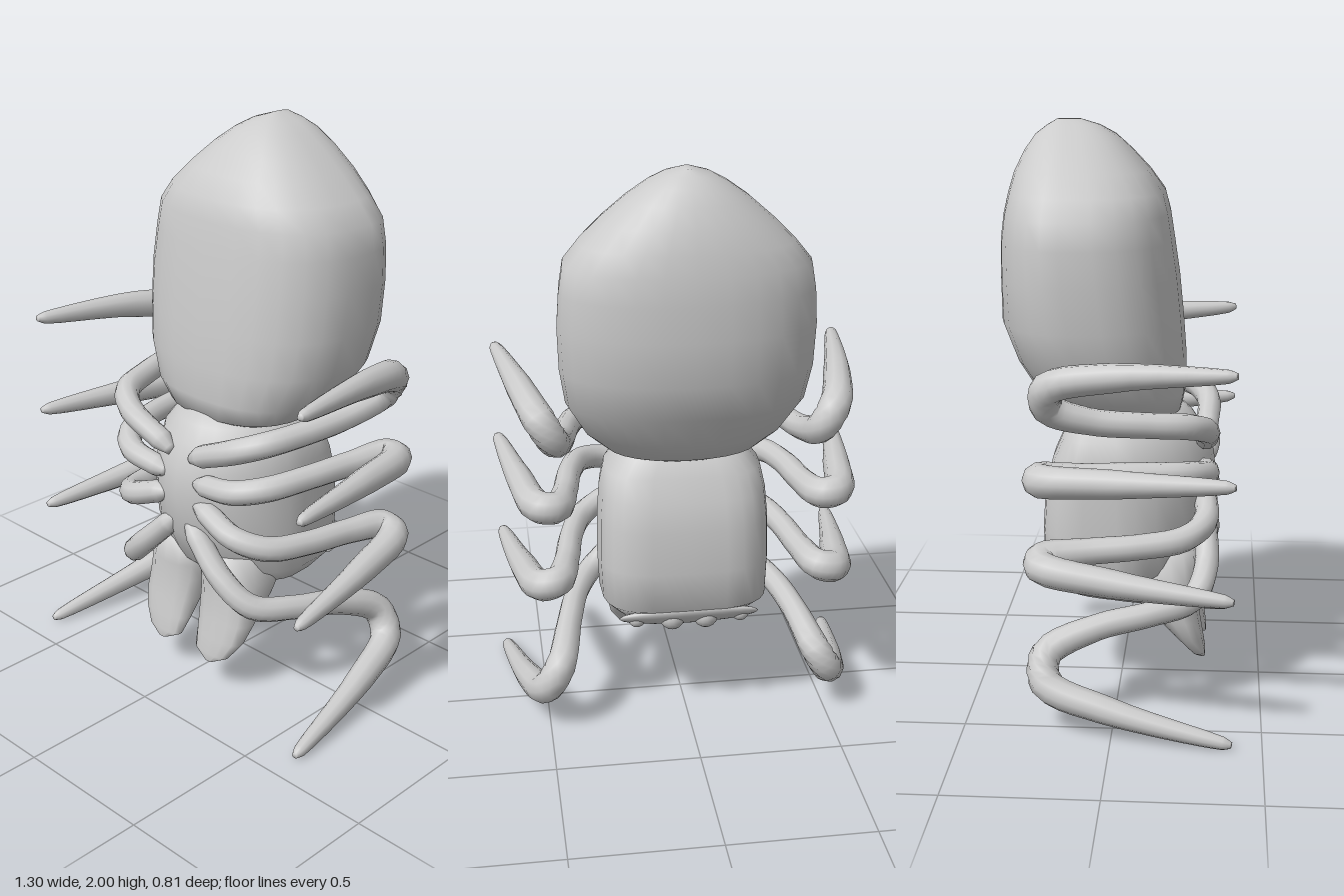
import * as THREE from 'three';

const material = new THREE.MeshStandardMaterial({ color: 0xcccccc });

// Joins rings of equal length into a closed smooth skin, with a point at each end
function skin(rings) {
  const n = rings[0].length, pos = [], idx = [];
  const centre = (r) => r.reduce((s, p) => s.add(p), new THREE.Vector3()).divideScalar(n);
  rings.flat().forEach((p) => pos.push(p.x, p.y, p.z));
  for (let i = 0; i < rings.length - 1; i++)
    for (let j = 0; j < n; j++) {
      const a = i * n + j, b = i * n + (j + 1) % n;
      idx.push(a, b, a + n, b, b + n, a + n);
    }
  const first = rings.length * n, lastRing = (rings.length - 1) * n;
  for (const r of [rings[0], rings[rings.length - 1]]) pos.push(...centre(r).toArray());
  for (let j = 0; j < n; j++) {
    const k = (j + 1) % n;
    idx.push(first, k, j, first + 1, lastRing + j, lastRing + k);
  }
  const g = new THREE.BufferGeometry();
  g.setAttribute('position', new THREE.Float32BufferAttribute(pos, 3));
  g.setIndex(idx);
  g.computeVertexNormals();
  return g;
}

// Upward stack of rounded sections: [y, half width, front z, back z, widest z, centre x]
function body(sections, frontPower, backPower, sides = 28) {
  return skin(sections.map(([y, w, zf, zb, zm, cx = 0]) =>
    Array.from({ length: sides }, (_, j) => {
      const t = (j / sides) * Math.PI * 2, c = Math.cos(t), s = Math.sin(t);
      const e = 2 / (c >= 0 ? frontPower : backPower);
      const x = Math.sign(s) * Math.abs(s) ** e;
      const z = Math.abs(c) ** e * (c >= 0 ? zf - zm : zb - zm);
      return new THREE.Vector3(cx + w * x, y, zm + z);
    })));
}

// Tapered limb along a curve, one radius per point
function limb(points, radii, steps = 45, sides = 10) {
  const curve = new THREE.CatmullRomCurve3(points.map((p) => new THREE.Vector3(...p)), false, 'centripetal');
  const rings = [], up = new THREE.Vector3(0, 1, 0);
  for (let i = 0; i <= steps; i++) {
    const t = i / steps, f = t * (radii.length - 1), k = Math.min(Math.floor(f), radii.length - 2);
    const r = THREE.MathUtils.lerp(radii[k], radii[k + 1], f - k);
    const p = curve.getPoint(t), d = curve.getTangent(t);
    const u = new THREE.Vector3().crossVectors(up, d).normalize();
    const v = new THREE.Vector3().crossVectors(d, u);
    rings.push(Array.from({ length: sides }, (_, j) => {
      const a = (j / sides) * Math.PI * 2;
      return p.clone().addScaledVector(u, r * Math.cos(a)).addScaledVector(v, r * Math.sin(a));
    }));
  }
  return skin(rings);
}

export function createModel() {
  const model = new THREE.Group();
  model.name = 'spider';
  const add = (name, geometry, x = 0, y = 0, z = 0) => {
    const mesh = new THREE.Mesh(geometry, material);
    mesh.name = name;
    mesh.position.set(x, y, z);
    model.add(mesh);
    return mesh;
  };

  // Large abdomen, coming to a blunt point at the top
  add('abdomen', body([
    [0.97, 0.18, 0.14, -0.14, -0.02],
    [1.01, 0.27, 0.21, -0.23, -0.03],
    [1.08, 0.345, 0.225, -0.29, -0.06],
    [1.2, 0.41, 0.225, -0.36, -0.12],
    [1.33, 0.43, 0.215, -0.41, -0.15],
    [1.48, 0.435, 0.2, -0.412, -0.17],
    [1.6, 0.427, 0.182, -0.411, -0.18],
    [1.69, 0.412, 0.168, -0.4, -0.18],
    [1.76, 0.355, 0.15, -0.385, -0.18],
    [1.83, 0.285, 0.1, -0.365, -0.18],
    [1.9, 0.205, 0.035, -0.33, -0.18],
    [1.95, 0.135, -0.02, -0.295, -0.18],
    [1.98, 0.08, -0.075, -0.255, -0.18],
    [2.0, 0.015, -0.14, -0.22, -0.18],
  ], 2.5, 2.2));

  // Head and chest, boxy at the back with a keeled underside towards +z
  add('cephalothorax', body([
    [0.38, 0.2, 0.12, -0.15, 0],
    [0.395, 0.25, 0.18, -0.195, 0],
    [0.455, 0.297, 0.25, -0.268, 0],
    [0.6, 0.303, 0.32, -0.272, 0],
    [0.75, 0.3, 0.335, -0.262, 0],
    [0.85, 0.292, 0.325, -0.235, 0],
    [0.93, 0.275, 0.29, -0.2, 0],
    [0.99, 0.225, 0.25, -0.17, 0],
    [1.035, 0.175, 0.2, -0.12, 0],
  ], 1.85, 3.6));

  // Slanted brow plate that carries the eyes
  add('browPlate', new THREE.SphereGeometry(1, 24, 12).scale(0.25, 0.025, 0.06), 0, 0.418, -0.222).rotation.x = 0.75;

  // Leg paths from chest to tip, left side
  const legPaths = [
    [[0.05, 0.89, 0.3], [0.1, 0.915, 0.3], [0.25, 0.98, 0.3], [0.34, 1.015, 0.24], [0.39, 1.03, 0.1],
      [0.425, 1.05, -0.08], [0.46, 1.1, -0.21], [0.505, 1.175, -0.205], [0.56, 1.225, 0], [0.627, 1.25, 0.37], [0.634, 1.253, 0.4]],
    [[0.07, 0.805, 0.3], [0.12, 0.81, 0.3], [0.25, 0.83, 0.3], [0.34, 0.85, 0.23], [0.39, 0.86, 0.08],
      [0.42, 0.86, -0.1], [0.46, 0.865, -0.235], [0.515, 0.87, -0.23], [0.57, 0.88, 0], [0.63, 0.895, 0.37], [0.637, 0.896, 0.4]],
    [[0.07, 0.725, 0.3], [0.12, 0.71, 0.3], [0.25, 0.66, 0.3], [0.34, 0.625, 0.23], [0.39, 0.61, 0.08],
      [0.42, 0.6, -0.1], [0.46, 0.59, -0.235], [0.515, 0.575, -0.23], [0.57, 0.545, 0], [0.627, 0.515, 0.37], [0.632, 0.513, 0.4]],
    [[0.03, 0.645, 0.3], [0.07, 0.605, 0.3], [0.2, 0.48, 0.305], [0.3, 0.395, 0.26], [0.37, 0.365, 0.12],
      [0.415, 0.33, -0.06], [0.46, 0.25, -0.225], [0.51, 0.165, -0.22], [0.565, 0.1, -0.02], [0.63, 0.025, 0.37], [0.634, 0.02, 0.4]],
  ];
  const legRadii = [0.018, 0.04, 0.043, 0.044, 0.043, 0.045, 0.054, 0.056, 0.048, 0.022, 0.01];

  for (const [side, s] of [['left', 1], ['right', -1]]) {
    legPaths.forEach((path, i) =>
      add(`${side}Leg${i + 1}`, limb(path.map(([x, y, z]) => [s * x, y, z]), legRadii, 50)));

    // Heavy jaw hanging below the head
    add(`${side}Jaw`, body([
      [0.12, 0.02, 0.305, 0.285, 0.295, s * 0.12],
      [0.15, 0.078, 0.305, 0.255, 0.28, s * 0.12],
      [0.21, 0.104, 0.297, 0.2, 0.25, s * 0.133],
      [0.28, 0.117, 0.285, 0.13, 0.22, s * 0.135],
      [0.36, 0.123, 0.275, 0.04, 0.18, s * 0.13],
      [0.42, 0.125, 0.275, -0.02, 0.16, s * 0.125],
      [0.52, 0.11, 0.27, 0, 0.14, s * 0.11],
    ], 2.3, 2.3, 14));

    // Two eyes on each side of the brow
    add(`${side}InnerEye`, new THREE.SphereGeometry(0.046, 16, 12), s * 0.06, 0.412, -0.216);
    add(`${side}OuterEye`, new THREE.SphereGeometry(0.032, 16, 12), s * 0.185, 0.412, -0.212);
  }
  return model;
}
